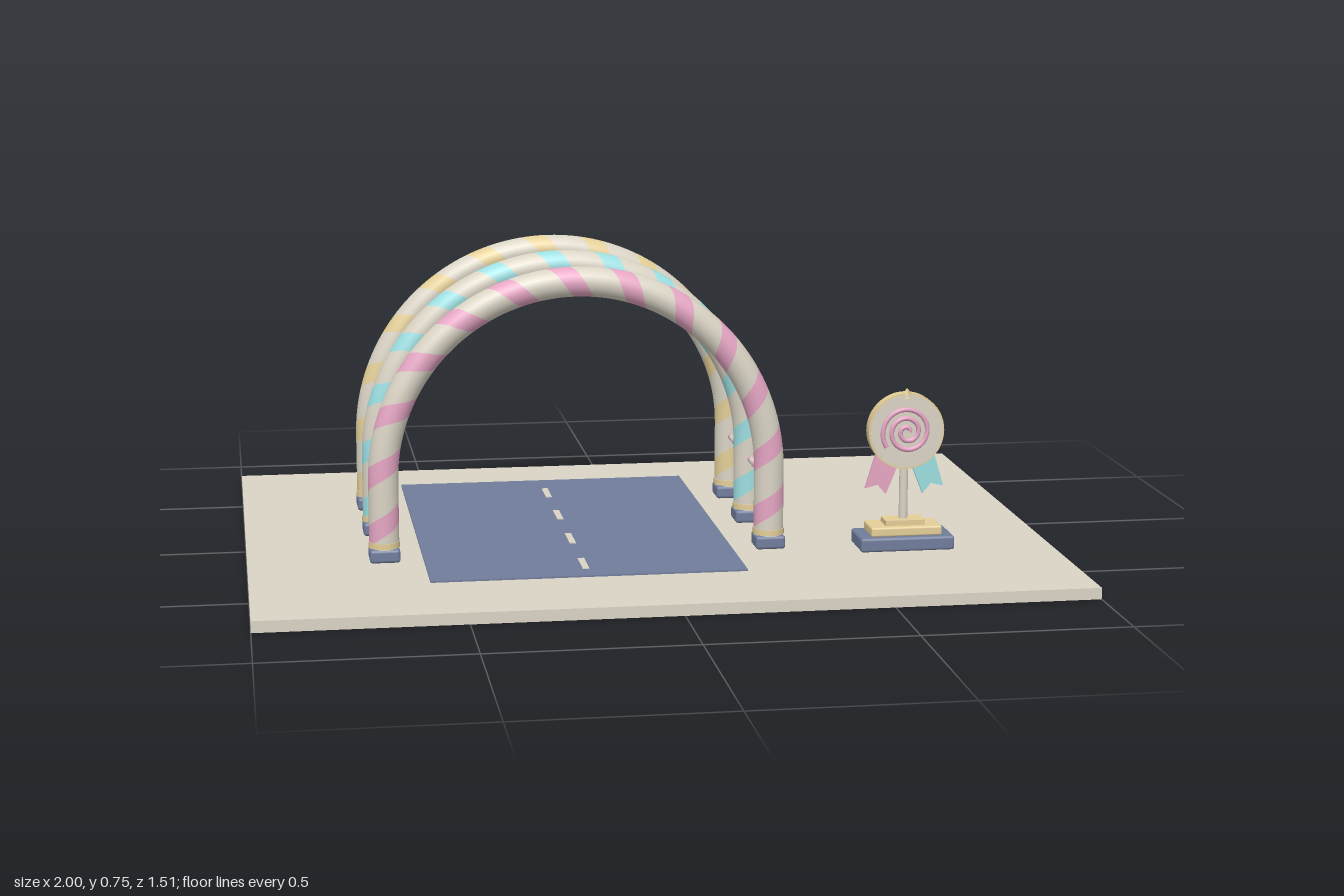
import * as THREE from 'three';
import { RoundedBoxGeometry } from 'three/addons/geometries/RoundedBoxGeometry.js';

const material = (name, color) => {
  const m = new THREE.MeshStandardMaterial({ color });
  m.name = name;
  return m;
};

export function createModel() {
  const cream = material('cream', 0xdad4c5);
  const blue = material('slate blue', 0x717d9c);
  const pink = material('pink', 0xe6a6c4);
  const cyan = material('cyan', 0x9ddfe2);
  const yellow = material('yellow', 0xe4cf98);
  const ribbonPink = pink.clone();
  ribbonPink.name = 'ribbon pink';
  const ribbonCyan = cyan.clone();
  ribbonCyan.name = 'ribbon cyan';
  ribbonPink.side = ribbonCyan.side = THREE.DoubleSide;

  const model = new THREE.Group();
  const add = (parent, name, geometry, mat, x = 0, y = 0, z = 0) => {
    const mesh = new THREE.Mesh(geometry, mat);
    mesh.name = name;
    mesh.position.set(x, y, z);
    parent.add(mesh);
    return mesh;
  };
  const box = (w, h, d) => new THREE.BoxGeometry(w, h, d);

  // Tube whose rows follow a helix, so each stripe is a whole band of faces.
  // frame(s) gives the centre, two cross-section axes e1, e2 (e1 x e2 along the path).
  function stripedTube(frame, length, radius, turns, sides = 24) {
    const rowsPerTurn = 8, stripeRows = 3;
    const pitch = length / turns;
    const rows = Math.ceil(turns * rowsPerTurn);
    const positions = [], normals = [], bands = [[], []];
    for (let i = -rowsPerTurn; i <= rows; i++) {
      for (let j = 0; j <= sides; j++) {
        const s = THREE.MathUtils.clamp((i / rowsPerTurn + j / sides) * pitch, 0, length);
        const a = (j / sides) * Math.PI * 2;
        const { c, e1, e2 } = frame(s);
        const n = e1.clone().multiplyScalar(Math.cos(a)).addScaledVector(e2, Math.sin(a));
        normals.push(...n);
        positions.push(...c.clone().addScaledVector(n, radius));
      }
    }
    for (let i = 0; i < rows + rowsPerTurn; i++) {
      const band = bands[i % rowsPerTurn < stripeRows ? 1 : 0];
      for (let j = 0; j < sides; j++) {
        const a = i * (sides + 1) + j, b = a + sides + 1;
        band.push(a, a + 1, b, b, a + 1, b + 1);
      }
    }
    const g = new THREE.BufferGeometry();
    g.setAttribute('position', new THREE.Float32BufferAttribute(positions, 3));
    g.setAttribute('normal', new THREE.Float32BufferAttribute(normals, 3));
    g.setIndex([...bands[0], ...bands[1]]);
    g.addGroup(0, bands[0].length, 0);
    g.addGroup(bands[0].length, bands[1].length, 1);
    return g;
  }

  // Ground, road and centre line
  add(model, 'ground', box(2, 0.028, 1.515), cream, 0, 0.014, 0);
  add(model, 'road', box(0.77, 0.004, 1.043), blue, -0.185, 0.03, -0.043);
  for (let i = 0; i < 4; i++) {
    add(model, 'roadDash', box(0.016, 0.003, 0.1), cream, -0.188, 0.0328, -0.405 + i * 0.257);
  }

  // Arches
  const archX = -0.185, R = 0.48, springY = 0.23, footY = 0.06, tubeR = 0.037;
  const leg = springY - footY, arc = Math.PI * R;
  const archFrame = (s) => {
    const a = THREE.MathUtils.clamp((s - leg) / R, 0, Math.PI);
    const e1 = new THREE.Vector3(-Math.cos(a), Math.sin(a), 0);
    const c = e1.clone().multiplyScalar(R);
    c.y += springY - Math.max(0, leg - s, s - leg - arc);
    return { c, e1, e2: new THREE.Vector3(0, 0, 1) };
  };
  const archGeometry = stripedTube(archFrame, arc + 2 * leg, tubeR, 13);
  const footGeometry = new RoundedBoxGeometry(0.075, 0.034, 0.075, 2, 0.008);
  const collarGeometry = new THREE.CylinderGeometry(0.039, 0.039, 0.014, 24);
  const archRows = [[0.243, pink], [-0.04, cyan], [-0.323, yellow]];
  for (const [z, stripe] of archRows) {
    const arch = new THREE.Group();
    arch.name = 'arch';
    arch.position.set(archX, 0, z);
    model.add(arch);
    add(arch, 'archTube', archGeometry, [cream, stripe]);
    for (const side of [-1, 1]) {
      add(arch, 'archFoot', footGeometry, blue, side * R, 0.045, 0);
      add(arch, 'archCollar', collarGeometry, yellow, side * R, 0.07, 0);
    }
  }

  // Side rails joining the arches
  const railFrame = (s) => ({
    c: new THREE.Vector3(0, 0, s),
    e1: new THREE.Vector3(1, 0, 0),
    e2: new THREE.Vector3(0, 1, 0),
  });
  const railGeometry = stripedTube(railFrame, 0.566, 0.008, 8, 10);
  for (const side of [-1, 1]) {
    add(model, 'sideRail', railGeometry, [cream, pink], archX + side * R, 0.198, -0.323);
  }

  // Award sign: stepped plinth and post
  const sign = new THREE.Group();
  sign.name = 'awardSign';
  sign.position.set(0.63, 0, 0.284);
  model.add(sign);
  add(sign, 'plinthBase', new RoundedBoxGeometry(0.238, 0.036, 0.122, 2, 0.007), blue, 0, 0.045, 0);
  add(sign, 'plinthStep', new RoundedBoxGeometry(0.18, 0.024, 0.092, 2, 0.005), yellow, 0, 0.074, 0);
  add(sign, 'plinthTop', box(0.1, 0.014, 0.056), yellow, 0, 0.092, 0);
  add(sign, 'post', new THREE.CylinderGeometry(0.011, 0.011, 0.17, 16), cream, 0, 0.18, 0);

  // Round medallion with a pale face
  const discY = 0.325;
  const discGeometry = new THREE.CylinderGeometry(0.096, 0.096, 0.029, 48).rotateX(Math.PI / 2);
  add(sign, 'medallion', discGeometry, yellow, 0, discY, 0.008);
  add(sign, 'medallionFace', new THREE.CylinderGeometry(0.092, 0.092, 0.003, 48).rotateX(Math.PI / 2),
    cream, 0, discY, 0.0235);

  // Raised spiral
  const spiralPoints = [];
  for (let i = 0; i <= 60; i++) {
    const t = i / 60, a = t * Math.PI * 5.2, r = 0.006 + 0.058 * t;
    spiralPoints.push(new THREE.Vector3(Math.cos(a) * r, Math.sin(a) * r, 0));
  }
  const spiralCurve = new THREE.CatmullRomCurve3(spiralPoints);
  add(sign, 'spiral', new THREE.TubeGeometry(spiralCurve, 140, 0.006, 8), pink, 0, discY, 0.03);

  // Small point on top of the medallion
  add(sign, 'topPoint', new THREE.ConeGeometry(0.022, 0.026, 4).scale(1, 1, 0.35), yellow, 0, 0.421, 0.02);

  // Swallow-tailed ribbons
  for (const [side, mat] of [[-1, ribbonPink], [1, ribbonCyan]]) {
    const outline = [[0.01, 0.255], [0.07, 0.28], [0.1, 0.18], [0.068, 0.188], [0.047, 0.163]];
    const shape = new THREE.Shape(outline.map(([x, y]) => new THREE.Vector2(side * x, y)));
    const ribbon = new THREE.ExtrudeGeometry(shape, { depth: 0.008, bevelEnabled: false });
    add(sign, 'ribbon', ribbon, mat, 0, 0, 0.001);
  }

  return model;
}
